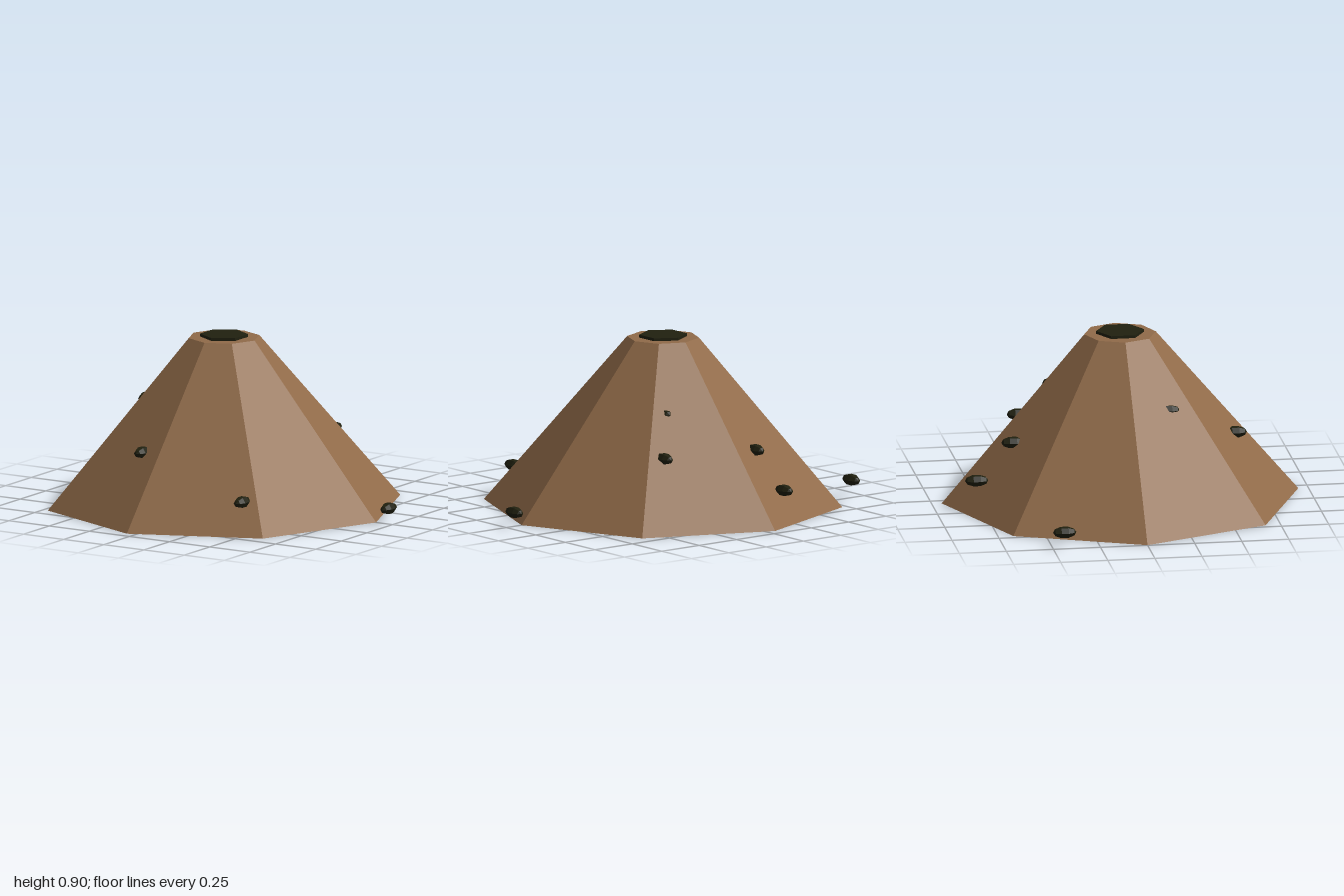
import * as THREE from 'three';

export function createModel() {
  const model = new THREE.Group();
  const earth = new THREE.MeshStandardMaterial({ name: 'brown earth', color: 0x916b49, flatShading: true });
  const dark = new THREE.MeshStandardMaterial({ name: 'dark soil', color: 0x20200f, flatShading: true });
  const centreX = -0.05;

  function add(name, geometry, material, x, y, z) {
    const mesh = new THREE.Mesh(geometry, material);
    mesh.name = name;
    mesh.position.set(x, y, z);
    model.add(mesh);
    return mesh;
  }

  // eight-sided mound with a flat top
  add('mound', new THREE.CylinderGeometry(0.19, 0.947, 0.89, 8), earth, centreX, 0.445, 0);

  // six-sided dark opening on the summit
  add('opening', new THREE.CylinderGeometry(0.127, 0.127, 0.03, 6), dark, centreX, 0.89, 0);

  // long pebbles, all lying along z, some nearly buried in the slope
  const pebble = new THREE.SphereGeometry(1, 6, 5);
  pebble.rotateX(Math.PI / 2);
  pebble.scale(0.034, 0.032, 0.062);
  const spots = [
    [-0.965, 0.08, -0.435],
    [0.962, 0.08, -0.02],
    [-0.235, 0.17, -0.79],
    [0.46, 0.17, 0.622],
    [-0.2, 0.36, -0.592],
    [-0.18, 0.36, 0.592],
    [0.325, 0.36, -0.482],
    [0.2, 0.56, -0.313],
    [-0.405, 0.56, 0.2],
  ];
  spots.forEach(([x, y, z], i) => add(`pebble${i + 1}`, pebble, dark, x, y, z));

  return model;
}
